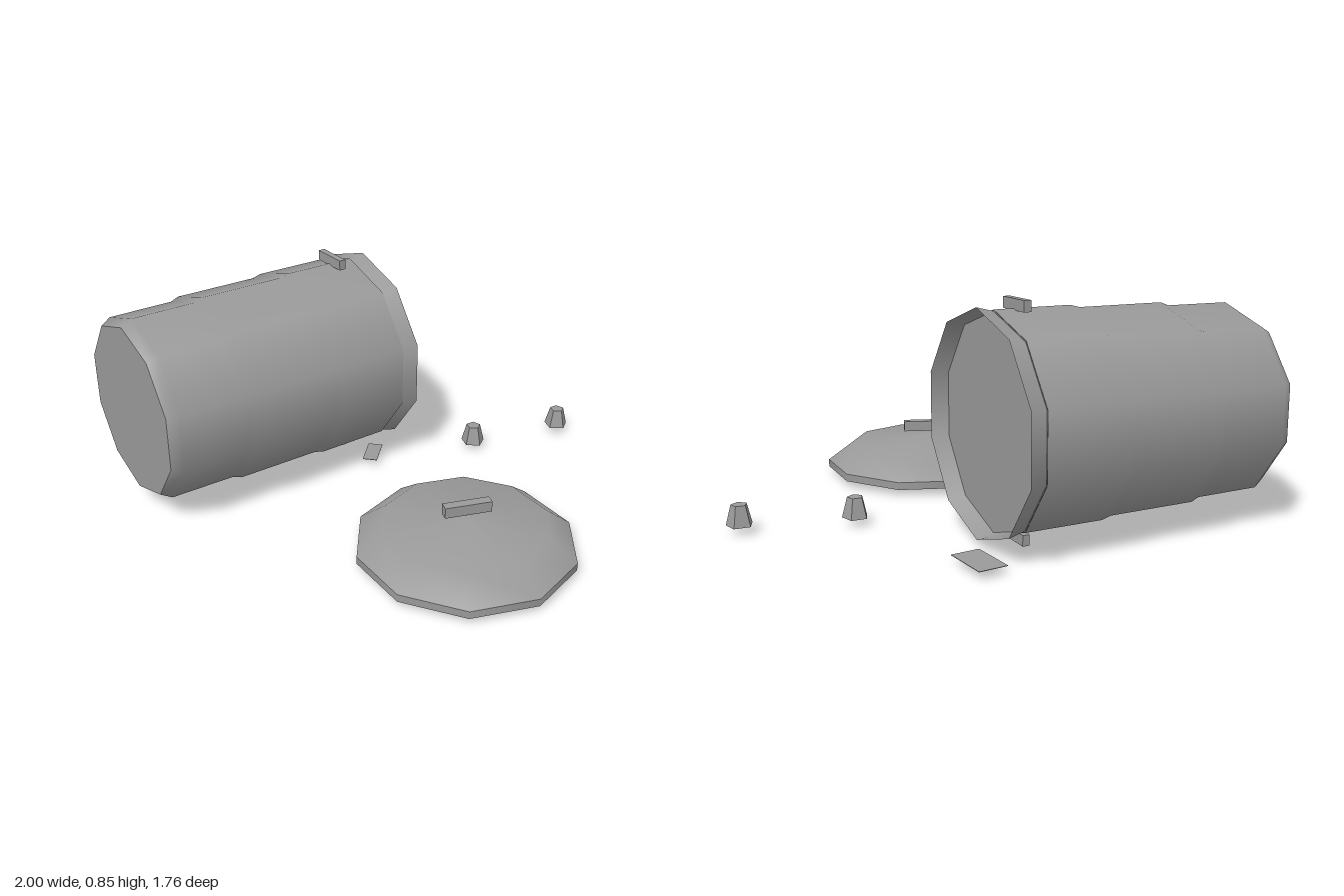
import * as THREE from 'three';

const SIDES = 10;

export function createModel() {
  const model = new THREE.Group();
  model.name = 'tippedTrashCan';
  const grey = new THREE.MeshStandardMaterial({ color: 0x9a9a9a, side: THREE.DoubleSide });
  grey.name = 'galvanised grey';

  function add(parent, name, geometry, x = 0, y = 0, z = 0) {
    const mesh = new THREE.Mesh(geometry, grey);
    mesh.name = name;
    mesh.position.set(x, y, z);
    parent.add(mesh);
    return mesh;
  }

  // ten-sided turned shell with a corner on the local x axis
  const turned = (profile) => new THREE.LatheGeometry(
    profile.map(([r, y]) => new THREE.Vector2(r, y)), SIDES, Math.PI / 2);

  // flat ten-sided disc facing up (1) or down (-1)
  const disc = (r, facing) => new THREE.CircleGeometry(r, SIDES).rotateX(-facing * Math.PI / 2);

  // can lying on its side, local y runs from base to mouth
  const can = new THREE.Group();
  can.name = 'can';
  can.position.set(-0.89, 0.425, -0.16);
  can.rotation.set(0, THREE.MathUtils.degToRad(20), -Math.PI / 2);
  model.add(can);
  add(can, 'canBody', turned([
    [0.34, 0], [0.365, 0.042], [0.367, 0.3], [0.38, 0.335],
    [0.381, 0.675], [0.391, 0.715], [0.391, 1.01],
  ]));
  add(can, 'canBase', disc(0.34, -1));
  add(can, 'canRim', turned([[0.383, 1.0], [0.402, 1.074]]));
  add(can, 'canMouth', disc(0.39, 1), 0, 1.01, 0);

  // side handles, now above and below the can
  for (const side of [1, -1]) {
    add(can, 'canHandle', new THREE.BoxGeometry(0.04, 0.027, 0.153), side * 0.405, 0.922, 0);
  }

  // lid lying on the ground
  const lid = new THREE.Group();
  lid.name = 'lid';
  lid.position.set(0.24, 0.027, 0.48);
  model.add(lid);
  add(lid, 'lidDome', turned([[0.415, 0.03], [0.313, 0.105], [0, 0.137]]));
  add(lid, 'lidBand', turned([[0.415, 0], [0.415, 0.03]]));
  add(lid, 'lidUnderside', disc(0.415, -1));
  add(lid, 'lidHandle', new THREE.BoxGeometry(0.18, 0.042, 0.036), 0, 0.17, 0);

  // small five-sided cups
  for (const [x, z] of [[0.535, -0.24], [0.945, -0.285]]) {
    const cup = new THREE.CylinderGeometry(0.03, 0.05, 0.077, 5)
      .rotateY(Math.PI / 2).toNonIndexed();
    cup.computeVertexNormals();
    add(model, 'cup', cup, x, 0.067, z);
  }

  // scraps of paper
  for (const [x, z, width, length, turn] of [
    [0.134, -0.744, 0.108, 0.182, 0.43],
    [0.09, -0.26, 0.06, 0.13, -0.46],
  ]) {
    add(model, 'paperScrap', new THREE.BoxGeometry(width, 0.002, length), x, 0.03, z)
      .rotation.y = turn;
  }

  return model;
}
